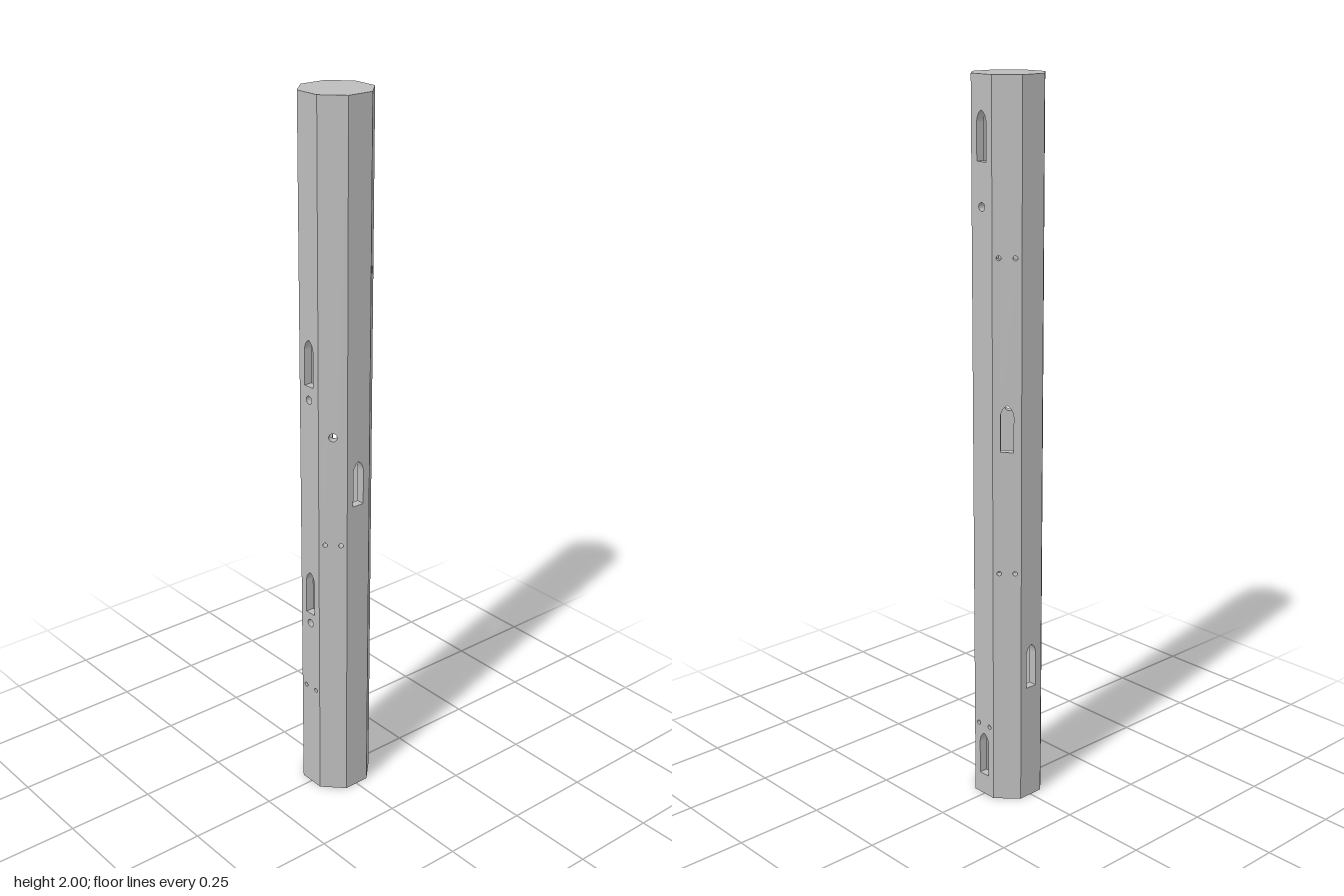
import * as THREE from 'three';

const HEIGHT = 2, WALL = 0.024;
const OUTER = 0.0925, INNER = OUTER - WALL;          // apothems of the octagon
const TAN = Math.tan(Math.PI / 8);

// Arched slot: flat sill, straight jambs, arched head
function slot(y) {
  const w = 0.0175, bottom = y - 0.064;
  const p = new THREE.Path();
  p.moveTo(-w, bottom);
  p.lineTo(w, bottom);
  p.lineTo(w, bottom + 0.098);
  p.quadraticCurveTo(w * 0.9, bottom + 0.12, 0, bottom + 0.128);
  p.quadraticCurveTo(-w * 0.9, bottom + 0.12, -w, bottom + 0.098);
  p.closePath();
  return p;
}

function roundHole(x, y, r) {
  return new THREE.Path().absarc(x, y, r, 0, Math.PI * 2, true);
}
const hole = (y) => roundHole(0, y, 0.0115);
const pair = (y) => [-0.0215, 0.0215].map((x) => roundHole(x, y, 0.0065));

// Openings of each side, turning from the front towards +x
const SIDES = [
  ['frontPanel', [slot(1.302), hole(1.2), slot(0.625), hole(0.53), ...pair(0.32)]],
  ['frontLeftPanel', [hole(1.107), ...pair(0.79)]],
  ['leftPanel', [slot(0.965)]],
  ['backLeftPanel', [hole(1.54)]],
  ['backPanel', [slot(1.848), hole(1.67), ...pair(0.216), slot(0.125)]],
  ['backRightPanel', [...pair(1.544), slot(1.09), ...pair(0.683)]],
  ['rightPanel', [slot(0.4)]],
  ['frontRightPanel', [slot(0.81)]],
];

// Flat wall with openings, its long edges mitred to meet the neighbours
function panelGeometry(openings) {
  const w = OUTER * TAN;
  const shape = new THREE.Shape();
  shape.moveTo(-w, 0);
  shape.lineTo(w, 0);
  shape.lineTo(w, HEIGHT);
  shape.lineTo(-w, HEIGHT);
  shape.closePath();
  shape.holes.push(...openings);
  const geo = new THREE.ExtrudeGeometry(shape, { depth: WALL, bevelEnabled: false, curveSegments: 8 });
  geo.translate(0, 0, INNER);
  const pos = geo.attributes.position;
  for (let i = 0; i < pos.count; i++) {
    const x = pos.getX(i);
    if (Math.abs(x) > w - 1e-5) pos.setX(i, Math.sign(x) * pos.getZ(i) * TAN);
  }
  geo.computeVertexNormals();
  return geo;
}

export function createModel() {
  const grey = new THREE.MeshStandardMaterial({ color: 0xbcbcbc, flatShading: true });
  grey.name = 'plain grey';
  const model = new THREE.Group();
  model.name = 'octagonalTower';

  SIDES.forEach(([name, openings], i) => {
    const panel = new THREE.Mesh(panelGeometry(openings), grey);
    panel.name = name;
    panel.rotation.y = i * Math.PI / 4;
    model.add(panel);
  });

  // Closed top, flush with the walls; the bottom stays open
  const r = INNER / Math.cos(Math.PI / 8);
  const cap = new THREE.Mesh(new THREE.CylinderGeometry(r, r, WALL, 8).rotateY(Math.PI / 8), grey);
  cap.name = 'topCap';
  cap.position.y = HEIGHT - WALL / 2;
  model.add(cap);
  return model;
}
